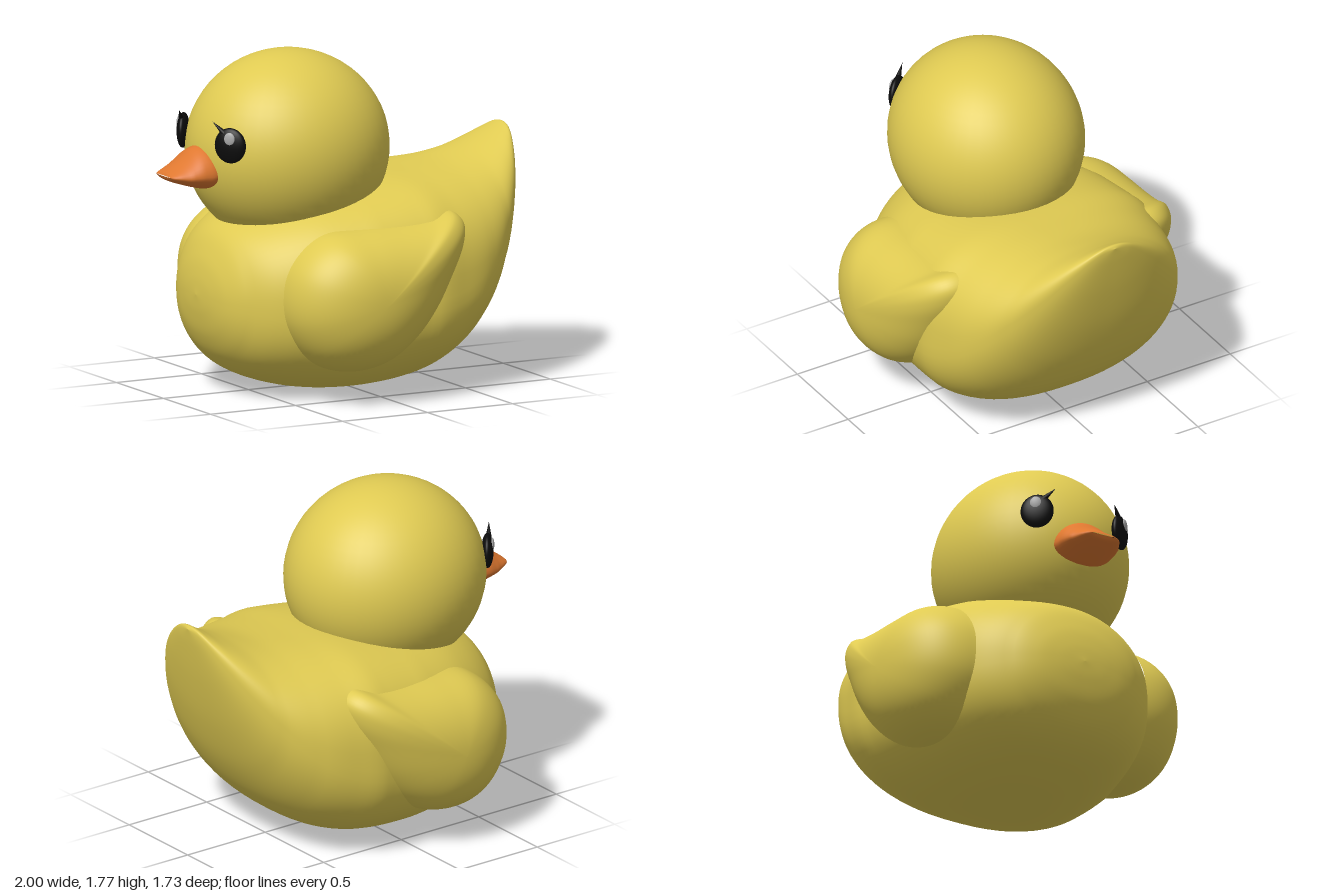
import * as THREE from 'three';

const mat = (color) => new THREE.MeshStandardMaterial({ color });
const yellow = mat(0xdfca52), orange = mat(0xdf7830), black = mat(0x0c0c0c), grey = mat(0xaaaaaa);

function part(name, geometry, material) {
  const mesh = new THREE.Mesh(geometry, material);
  mesh.name = name;
  return mesh;
}

// Smooth grid of rows, each row a closed ring of points from f(u, v)
function ringSurface(rows, cols, f) {
  const pos = [], index = [];
  for (let i = 0; i <= rows; i++) {
    for (let j = 0; j < cols; j++) {
      pos.push(...f(i / rows, j / cols));
      if (i === rows) continue;
      const k = (j + 1) % cols;
      const a = i * cols + j, b = a + cols, c = (i + 1) * cols + k, d = i * cols + k;
      index.push(a, b, c, a, c, d);
    }
  }
  const g = new THREE.BufferGeometry();
  g.setAttribute('position', new THREE.Float32BufferAttribute(pos, 3));
  g.setIndex(index);
  g.computeVertexNormals();
  return g;
}

// Loft along x through superellipse sections:
// [x, bottom y, top y, y of widest point, half width, upper exponent]
function loft(sections, lowerExponent, rows, cols) {
  const curve = (k) => new THREE.CatmullRomCurve3(
    sections.map((s) => new THREE.Vector3(s[k], s[k + 1], s[k + 2])));
  const heights = curve(0), widths = curve(3);
  return ringSurface(rows, cols, (u, v) => {
    const { x, y: bottom, z: top } = heights.getPoint(u);
    const { x: mid, y: width, z: n } = widths.getPoint(u);
    const c = Math.cos(v * Math.PI * 2), s = Math.sin(v * Math.PI * 2);
    const e = 2 / (s > 0 ? n : lowerExponent);
    const h = Math.abs(s) ** e;
    return [x, s > 0 ? mid + (top - mid) * h : mid - (mid - bottom) * h,
      Math.sign(c) * Math.abs(c) ** e * width];
  });
}

function ellipsoid(rx, ry, rz) {
  return new THREE.SphereGeometry(1, 48, 32).scale(rx, ry, rz);
}

// Domed teardrop wing, bulging towards +z
function wingGeometry() {
  const rim = new THREE.CatmullRomCurve3([
    [-0.58, 0.56], [-0.56, 0.42], [-0.47, 0.27], [-0.35, 0.19], [-0.2, 0.165], [-0.03, 0.2],
    [0.13, 0.31], [0.27, 0.48], [0.37, 0.67], [0.43, 0.82], [0.43, 0.91], [0.37, 0.957],
    [0.25, 0.93], [0.1, 0.915], [-0.15, 0.905], [-0.35, 0.885], [-0.47, 0.81], [-0.55, 0.7],
  ].map(([x, y]) => new THREE.Vector3(x, y, 0)), true);
  const cx = -0.15, cy = 0.55;
  return ringSurface(24, 96, (u, v) => {
    const s = Math.sin(u * Math.PI / 2);
    const p = rim.getPoint(v);
    const x = cx + (p.x - cx) * s, y = cy + (p.y - cy) * s;
    const base = 0.535 + 0.04 * x;
    return [x, y, base + (0.865 - base) * Math.max(0, 1 - s ** 2.2) ** (1 / 2.2)];
  });
}

// Eye with highlight and lash, lying in its own xy plane and facing +z
function makeEye() {
  const eye = new THREE.Group();
  eye.name = 'eye';
  const pupil = part('pupil', ellipsoid(0.086, 0.092, 0.032), black);
  const highlight = part('highlight', ellipsoid(0.03, 0.036, 0.012), grey);
  highlight.position.set(0.005, 0.036, 0.024);
  const lash = part('eyelash', new THREE.ConeGeometry(0.018, 0.1, 12), black);
  lash.position.set(-0.06, 0.088, 0.005);
  lash.rotation.z = 0.85;
  eye.add(pupil, highlight, lash);
  eye.position.set(-0.745, 1.345, 0.25);
  eye.rotation.y = -0.9;
  return eye;
}

export function createModel() {
  const model = new THREE.Group();
  model.name = 'duck';

  // Plump body sweeping up into a pointed tail
  model.add(part('body', loft([
    [-0.81, 0.53, 0.53, 0.53, 0.0, 2],
    [-0.80, 0.43, 0.63, 0.53, 0.14, 2],
    [-0.77, 0.31, 0.74, 0.52, 0.27, 2],
    [-0.70, 0.19, 0.86, 0.52, 0.39, 2.1],
    [-0.58, 0.10, 0.935, 0.51, 0.52, 2.3],
    [-0.36, 0.03, 1.01, 0.50, 0.635, 2.7],
    [-0.08, 0.003, 1.05, 0.50, 0.695, 3.1],
    [0.20, 0.025, 1.09, 0.51, 0.71, 3.1],
    [0.42, 0.095, 1.105, 0.56, 0.685, 2.7],
    [0.60, 0.23, 1.125, 0.67, 0.62, 2.3],
    [0.75, 0.44, 1.165, 0.82, 0.505, 2],
    [0.86, 0.69, 1.21, 0.97, 0.375, 2],
    [0.94, 0.96, 1.255, 1.12, 0.23, 2],
    [0.985, 1.17, 1.28, 1.23, 0.1, 2],
    [1.0, 1.265, 1.265, 1.265, 0.0, 2],
  ], 2.35, 84, 72), yellow));

  const head = part('head', ellipsoid(0.537, 0.51, 0.5), yellow);
  head.position.set(-0.272, 1.26, 0);
  model.add(head);

  // Bill, flat and blunt at the tip
  model.add(part('beak', loft([
    [-1.0, 1.168, 1.172, 1.17, 0.07, 2],
    [-0.99, 1.15, 1.185, 1.168, 0.09, 2],
    [-0.96, 1.135, 1.205, 1.166, 0.115, 1.9],
    [-0.90, 1.115, 1.245, 1.165, 0.147, 1.8],
    [-0.84, 1.098, 1.295, 1.17, 0.163, 1.8],
    [-0.79, 1.088, 1.312, 1.17, 0.166, 1.8],
    [-0.70, 1.10, 1.29, 1.18, 0.14, 1.8],
  ], 2, 30, 40), orange));

  // Wing and eye on both flanks
  for (const side of [1, -1]) {
    const flank = new THREE.Group();
    flank.name = 'flank';
    flank.add(part('wing', wingGeometry(), yellow), makeEye());
    flank.scale.z = side;
    model.add(flank);
  }
  return model;
}
